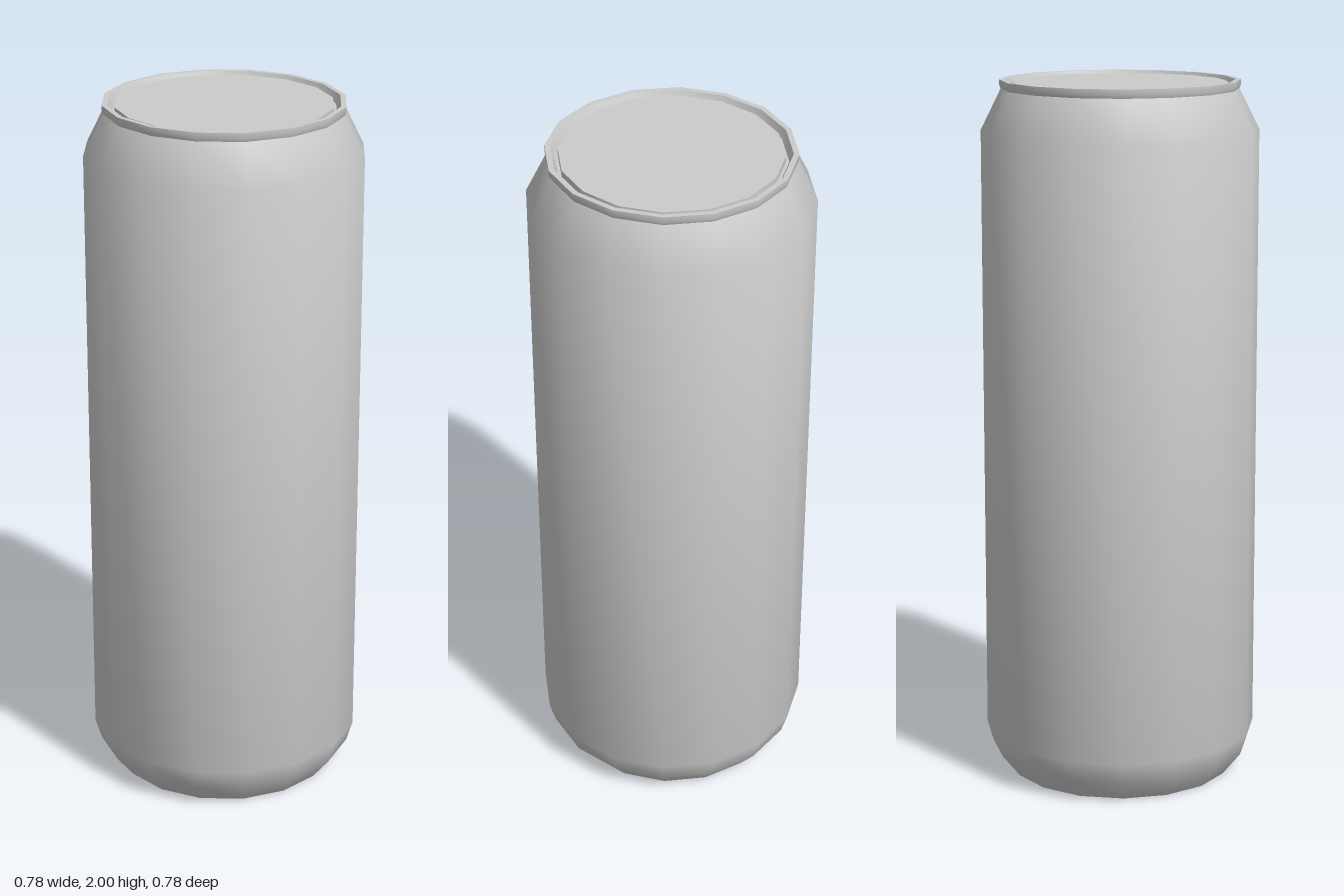
import * as THREE from 'three';
import { toCreasedNormals } from 'three/addons/utils/BufferGeometryUtils.js';

const SIDES = 16;

// Revolve a [radius, height] profile, listed from bottom to top along the outside
function turned(name, profile) {
  const points = profile.map(([r, y]) => new THREE.Vector2(r, y));
  const geometry = toCreasedNormals(new THREE.LatheGeometry(points, SIDES), 0.7);
  const mesh = new THREE.Mesh(geometry, new THREE.MeshStandardMaterial({ color: 0xcccccc }));
  mesh.name = name;
  return mesh;
}

export function createModel() {
  const can = new THREE.Group();
  can.name = 'can';

  // Recessed base with its standing ring
  can.add(turned('base', [[0, 0.015], [0.31, 0.015], [0.313, 0], [0.32, 0]]));

  // Wall: rounded foot, straight side, sloping shoulder
  can.add(turned('body', [
    [0.32, 0], [0.372, 0.065], [0.39, 0.125], [0.39, 1.86], [0.333, 1.975],
  ]));

  // Lid: rim, groove and raised panel
  can.add(turned('lid', [
    [0.333, 1.975], [0.337, 1.985], [0.337, 2], [0.322, 2],
    [0.311, 1.975], [0.302, 1.975], [0.302, 1.993], [0, 1.993],
  ]));

  return can;
}
